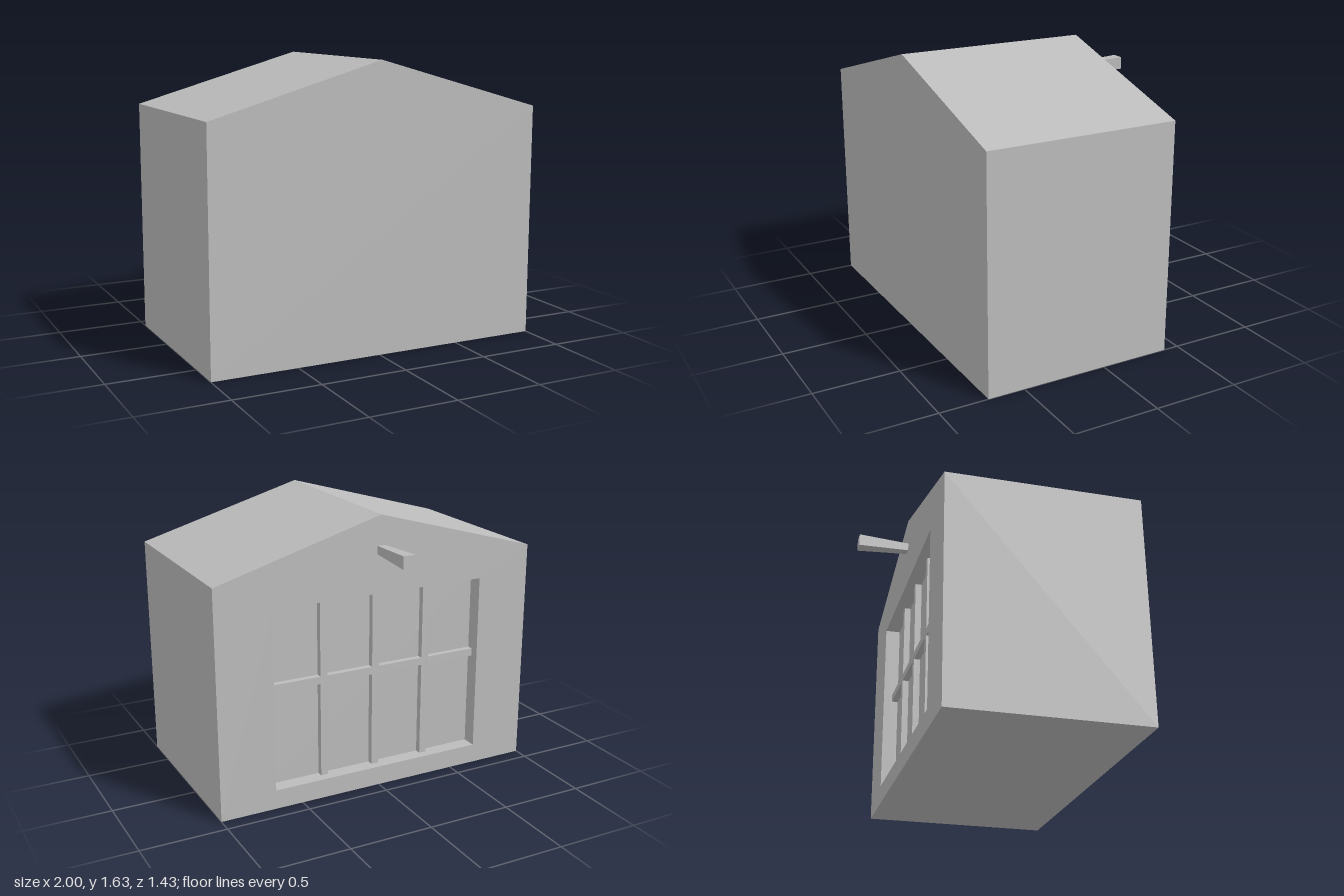
import * as THREE from 'three';

const FRONT = 0.715, BACK = -0.41, PANE = BACK + 0.09;
const BAR_FRONT = BACK + 0.053, BAR = 0.045;
const W = 0.665, Y0 = 0.115, Y1 = 1.185;

const points = (list) => list.map(([x, y]) => new THREE.Vector2(x, y));

// Walls joining a counter-clockwise outline from z0 to z1, facing outward
function sweptWalls(outline, z0, z1) {
  const pos = [];
  outline.forEach((a, i) => {
    const b = outline[(i + 1) % outline.length];
    pos.push(a.x, a.y, z0, b.x, b.y, z0, b.x, b.y, z1);
    pos.push(a.x, a.y, z0, b.x, b.y, z1, a.x, a.y, z1);
  });
  const g = new THREE.BufferGeometry();
  g.setAttribute('position', new THREE.Float32BufferAttribute(pos, 3));
  g.computeVertexNormals();
  return g;
}

export function createModel() {
  const model = new THREE.Group();
  model.name = 'house';
  const grey = new THREE.MeshStandardMaterial({ color: 0xbcbcbc });
  grey.name = 'plain grey';

  const add = (name, geometry, parent = model) => {
    const mesh = new THREE.Mesh(geometry, grey);
    mesh.name = name;
    parent.add(mesh);
    return mesh;
  };

  const gable = points([[-1, 0], [1, 0], [1, 1.35], [0, 1.635], [-1, 1.35]]);
  const opening = points([[-W, Y0], [W, Y0], [W, Y1], [-W, Y1]]);

  // Floor, side walls and roof slopes
  add('sideWallsAndRoof', sweptWalls(gable, BACK, FRONT));
  add('frontWall', new THREE.ShapeGeometry(new THREE.Shape(gable)).translate(0, 0, FRONT));

  // Back wall with the window opening
  const backShape = new THREE.Shape(gable);
  backShape.holes.push(new THREE.Path(opening));
  add('backWall', new THREE.ShapeGeometry(backShape).rotateY(Math.PI).translate(0, 0, BACK));

  // Recessed window: reveal, pane and glazing bars
  const win = new THREE.Group();
  win.name = 'window';
  model.add(win);
  add('windowReveal', sweptWalls([...opening].reverse(), BACK, PANE), win);
  add('windowPane', new THREE.ShapeGeometry(new THREE.Shape(opening)).rotateY(Math.PI).translate(0, 0, PANE), win);

  const depth = PANE - BAR_FRONT, barZ = (PANE + BAR_FRONT) / 2;
  for (const x of [-W / 2, 0, W / 2]) {
    add('verticalBar', new THREE.BoxGeometry(BAR, Y1 - Y0, depth), win).position.set(x, (Y0 + Y1) / 2, barZ);
  }
  add('horizontalBar', new THREE.BoxGeometry(2 * W, BAR, depth), win).position.set(0, 0.708, barZ);

  // Hoist beam, flaring toward its outer end
  const length = FRONT + BACK;
  const beam = new THREE.BoxGeometry(0.048, 0.048, length);
  const p = beam.attributes.position;
  for (let i = 0; i < p.count; i++) {
    if (p.getZ(i) < 0) p.setXY(i, p.getX(i) * 1.54, p.getY(i) * 1.54);
  }
  beam.computeVertexNormals();
  add('hoistBeam', beam).position.set(0, 1.437, BACK - length / 2);

  return model;
}
